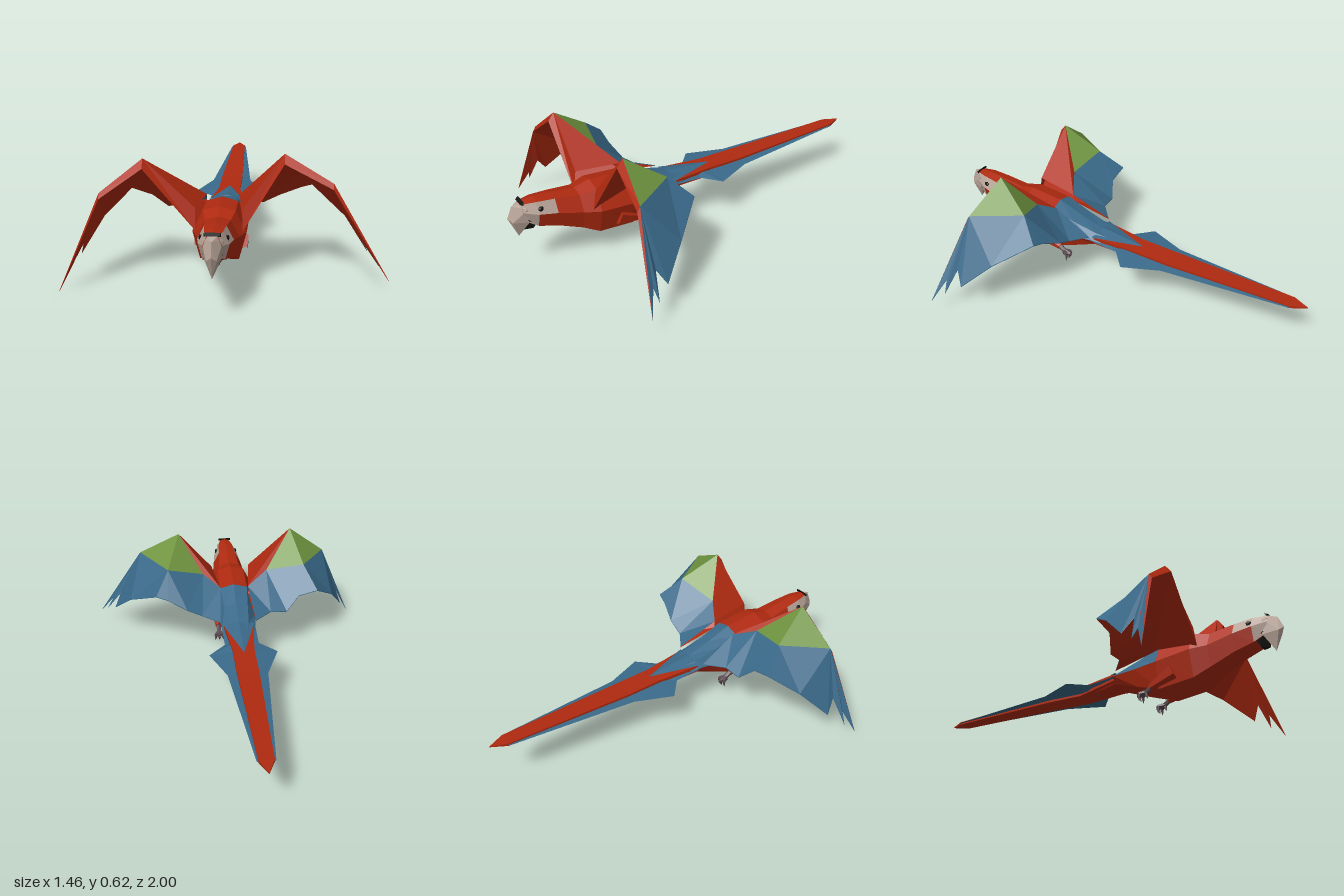
import * as THREE from 'three';
import { ConvexGeometry } from 'three/addons/geometries/ConvexGeometry.js';

const mat = (color) => new THREE.MeshStandardMaterial({ color, flatShading: true, side: THREE.DoubleSide });
const M = {
  red: mat(0xb02a10), blue: mat(0x3a6a8a), green: mat(0x6f943f),
  bone: mat(0xb8a498), black: mat(0x15110f), claw: mat(0x5c4c52),
};
const V = (p) => new THREE.Vector3(...p);

function add(parent, name, geometry, material) {
  const mesh = new THREE.Mesh(geometry, material);
  mesh.name = name;
  parent.add(mesh);
  return mesh;
}

// One flat-shaded mesh from corner points and triangles
function skin(parent, name, color, pts, tris) {
  const g = new THREE.BufferGeometry();
  g.setAttribute('position', new THREE.Float32BufferAttribute(tris.flat().flatMap((i) => pts[i]), 3));
  g.computeVertexNormals();
  return add(parent, name, g, M[color]);
}

// Joins closed rings of equal length; colorOf(segment, side) picks the colour
function loft(parent, name, rings, colorOf) {
  const n = rings[0].length;
  const pts = rings.flat();
  const byColor = {};
  for (let s = 0; s < rings.length - 1; s++) {
    for (let k = 0; k < n; k++) {
      const a = s * n + k, b = s * n + (k + 1) % n;
      (byColor[colorOf(s, k)] ??= []).push([a, b, a + n], [b, b + n, a + n]);
    }
  }
  const end = (rings.length - 1) * n;
  for (let k = 1; k < n - 1; k++) {
    (byColor[colorOf(0, 0)] ??= []).push([0, k + 1, k]);
    (byColor[colorOf(rings.length - 2, 0)] ??= []).push([end, end + k, end + k + 1]);
  }
  for (const c in byColor) skin(parent, `${name} ${c}`, c, pts, byColor[c]);
}

// Tapered limb between two points
function limb(parent, name, a, b, r0, r1, material, sides = 5) {
  const from = V(a), dir = V(b).sub(from);
  const mesh = add(parent, name, new THREE.CylinderGeometry(r1, r0, dir.length(), sides), material);
  mesh.position.copy(from).addScaledVector(dir, 0.5);
  mesh.quaternion.setFromUnitVectors(new THREE.Vector3(0, 1, 0), dir.normalize());
}

// Wing corners: shoulder, peak, wrist, three inner points, tip, then trailing edge outward
const leftWing = [
  [0.09, 0.38, 0.60], [0.27, 0.62, 0.545], [0.485, 0.50, 0.585],
  [0.06, 0.37, 0.37], [0.15, 0.43, 0.425], [0.34, 0.50, 0.36], [0.73, 0.095, 0.68],
  [0.08, 0.28, 0.16], [0.17, 0.29, 0.22], [0.25, 0.33, 0.22], [0.35, 0.38, 0.25], [0.41, 0.40, 0.26],
  [0.55, 0.30, 0.42], [0.645, 0.18, 0.55], [0.61, 0.25, 0.59], [0.69, 0.14, 0.62], [0.655, 0.2, 0.63],
];
const rightWing = [
  [-0.12, 0.38, 0.60], [-0.35, 0.60, 0.59], [-0.545, 0.445, 0.615],
  [-0.09, 0.37, 0.37], [-0.20, 0.43, 0.435], [-0.40, 0.47, 0.40], [-0.73, 0, 0.68],
  [-0.11, 0.28, 0.16], [-0.20, 0.28, 0.24], [-0.29, 0.27, 0.25], [-0.36, 0.34, 0.29], [-0.46, 0.37, 0.285],
  [-0.57, 0.27, 0.41], [-0.655, 0.13, 0.54], [-0.63, 0.20, 0.59], [-0.705, 0.06, 0.62], [-0.67, 0.12, 0.63],
];
const plumage = {
  red: [[0, 1, 3], [1, 4, 3]],
  green: [[1, 5, 4], [1, 2, 5]],
  blue: [[3, 4, 8], [3, 8, 7], [4, 9, 8], [4, 5, 9], [5, 10, 9], [5, 11, 10], [5, 12, 11],
    [2, 12, 5], [2, 13, 12], [2, 14, 13], [2, 15, 14], [2, 16, 15], [2, 6, 16]],
};

function wing(name, top, flip) {
  const g = new THREE.Group();
  g.name = name;
  const turn = (tris) => (flip ? tris.map(([a, b, c]) => [a, c, b]) : tris);
  // The lower layer hangs below the upper one, with a rounded leading edge
  const drop = [[0.1, 0.015], [0.04, 0.03], [0.025, 0.015], [0.04, 0], [0.025, 0], [0.02, 0]];
  const low = top.map(([x, y, z], i) => {
    const [dy, dz] = drop[i] ?? [0.004, 0];
    return [x, y - dy, z + dz];
  });
  const pts = [...top, ...low], n = top.length;
  for (const c in plumage) skin(g, `upper ${c} feathers`, c, pts, turn(plumage[c]));
  const under = Object.values(plumage).flat().map(([a, b, c]) => [a + n, c + n, b + n]);
  const lead = [[0, 1], [1, 2], [2, 6]].flatMap(([a, b]) => [[a, a + n, b], [b, a + n, b + n]]);
  skin(g, 'underwing', 'red', pts, turn([...under, ...lead]));
  const rim = [7, 8, 9, 10, 11, 12, 13, 14, 15, 16, 6];
  const edge = rim.slice(1).flatMap((b, i) => [[rim[i], b, rim[i] + n], [b, b + n, rim[i] + n]]);
  skin(g, 'trailing edge', 'blue', pts, turn(edge));
  return g;
}

export function createModel() {
  const model = new THREE.Group();
  model.name = 'parrot';
  const bird = new THREE.Group();
  bird.name = 'body';
  bird.position.x = -0.015;
  model.add(bird, wing('left wing', leftWing, false), wing('right wing', rightWing, true));

  // Head and trunk: z, top, bottom, half width
  const profile = [[0, 1], [-0.6, 0.92], [-1, 0.52], [-0.72, 0], [0.72, 0], [1, 0.52], [0.6, 0.92]];
  const trunk = [
    [0.935, 0.383, 0.29, 0.04], [0.87, 0.387, 0.25, 0.066], [0.78, 0.38, 0.225, 0.078],
    [0.66, 0.365, 0.175, 0.095], [0.58, 0.385, 0.135, 0.122], [0.40, 0.37, 0.122, 0.122],
    [0.27, 0.325, 0.17, 0.105], [0.14, 0.288, 0.222, 0.088], [0, 0.268, 0.222, 0.05],
  ].map(([z, t, b, w]) => profile.map(([u, v]) => [u * w, b + (t - b) * v, z]));
  loft(bird, 'trunk', trunk, (s, k) => {
    if (s < 2 && (k === 1 || k === 5)) return 'bone';
    if (s === 0 && (k === 2 || k === 4)) return 'bone';
    return s >= 5 && (k < 2 || k > 4) ? 'blue' : 'red';
  });

  // Tail: wide side feathers around a long central plume, rows of z, half width, top, bottom
  const diamond = ([z, w, t, b]) => [[0, t, z], [-w, (t + b) / 2, z], [0, b, z], [w, (t + b) / 2, z]];
  const sideFeathers = [[0.2, 0.09, 0.285, 0.225], [0.0, 0.088, 0.265, 0.222], [-0.08, 0.175, 0.255, 0.222],
    [-0.27, 0.10, 0.254, 0.234], [-0.92, 0.042, 0.266, 0.258], [-0.93, 0.02, 0.265, 0.26]];
  loft(bird, 'tail side feathers', sideFeathers.map(diamond), () => 'blue');
  const strip = ([z, w, t, b]) => [[-w, t, z], [-w, b, z], [w, b, z], [w, t, z]];
  const plume = [[0.14, 0.08, 0.27, 0.235], [-0.08, 0.055, 0.262, 0.216], [-0.27, 0.055, 0.26, 0.228],
    [-0.92, 0.035, 0.27, 0.255], [-1.0, 0.001, 0.268, 0.264]];
  loft(bird, 'tail central plume', plume.map(strip), () => 'red');
  skin(bird, 'rump feathers', 'blue',
    [[-0.085, 0.273, 0.15], [0.085, 0.273, 0.15], [0, 0.264, -0.11], [0, 0.29, 0.13]],
    [[0, 3, 2], [3, 1, 2], [0, 1, 3]]);

  // Hooked beak with a dark lower half
  const both = (list) => list.flatMap(([x, y, z]) => (x ? [V([x, y, z]), V([-x, y, z])] : [V([x, y, z])]));
  const convex = (name, list, m) => add(bird, name, new ConvexGeometry(both(list)), m);
  convex('upper beak', [[0.045, 0.355, 0.915], [0.02, 0.378, 0.935], [0.04, 0.28, 0.91], [0, 0.368, 0.975],
    [0, 0.31, 1.0], [0.022, 0.29, 0.982], [0, 0.2, 0.955]], M.bone);
  convex('lower beak', [[0.042, 0.295, 0.915], [0.042, 0.265, 0.875], [0.022, 0.232, 0.89], [0, 0.225, 0.93]], M.black);
  convex('brow band', [[0.036, 0.375, 0.93], [0.034, 0.39, 0.925], [0.03, 0.38, 0.942]], M.black);

  for (const s of [-1, 1]) {
    const eye = add(bird, 'eye', new THREE.IcosahedronGeometry(0.015, 0), M.black);
    eye.position.set(s * 0.056, 0.342, 0.855);
    eye.scale.x = 0.6;
    // Tucked leg and clawed foot
    const x = s * 0.09;
    limb(bird, 'thigh', [x * 0.9, 0.19, 0.48], [x, 0.14, 0.35], 0.05, 0.018, M.red, 6);
    limb(bird, 'shank', [x, 0.145, 0.36], [x, 0.118, 0.32], 0.014, 0.012, M.claw);
    for (const t of [-1, 0, 1]) {
      const knuckle = [x + t * 0.018, 0.112, 0.298 - (t ? 0 : 0.012)];
      limb(bird, 'toe', [x, 0.12, 0.325], knuckle, 0.012, 0.01, M.claw);
      limb(bird, 'claw', knuckle, [knuckle[0] + t * 0.004, 0.078, 0.3], 0.01, 0.001, M.claw);
    }
    limb(bird, 'hind toe', [x, 0.12, 0.325], [x, 0.09, 0.335], 0.011, 0.002, M.claw);
  }
  return model;
}
